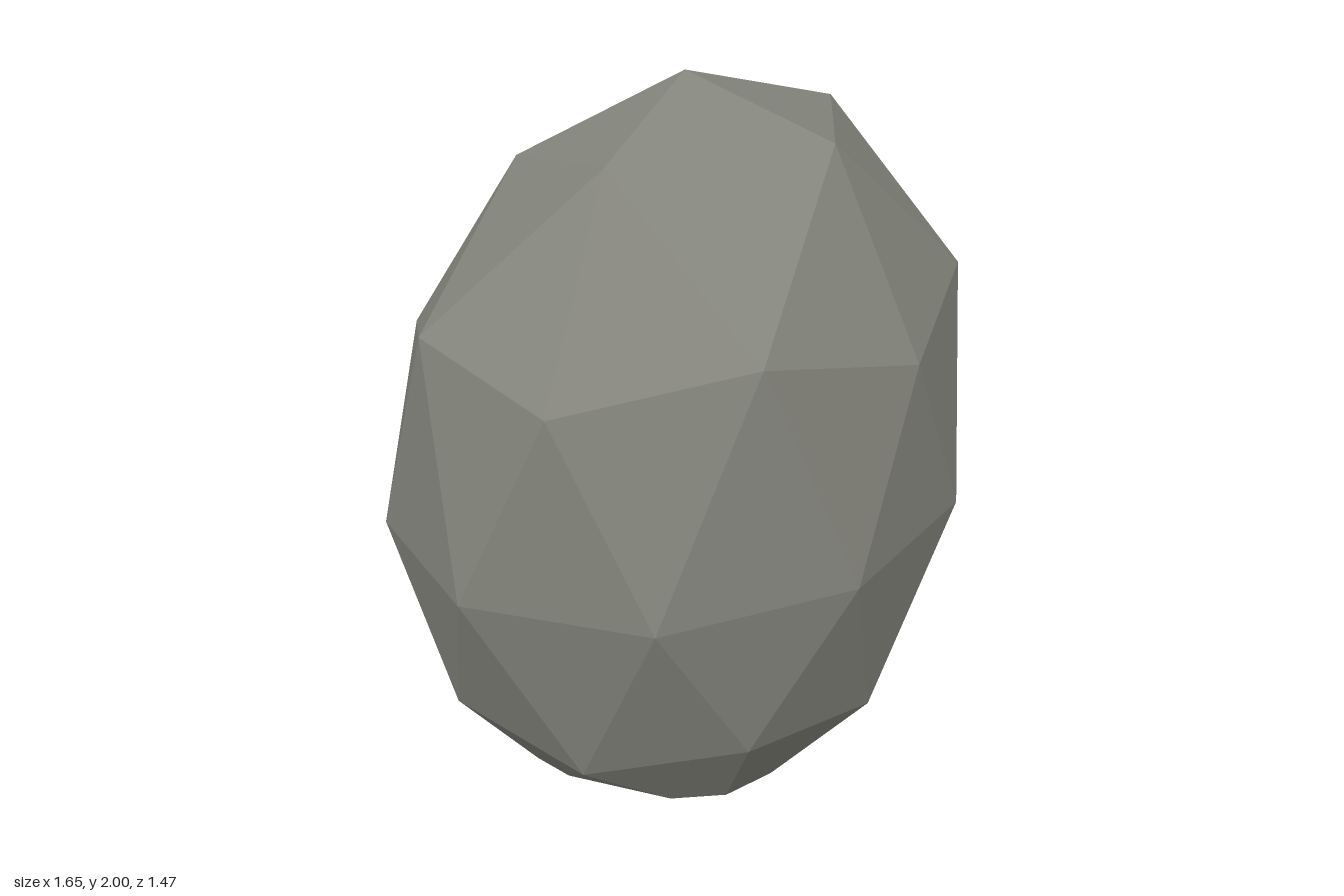
import * as THREE from 'three';

// Faceted boulder: a once-subdivided icosahedron, stretched, dented and cut flat at the ground.
const CENTRE = new THREE.Vector3(0.05, 0.82, -0.04);
const STRETCH = new THREE.Vector3(1, 1.275, 0.852);

// One ring of points: unit height, start angle in degrees, radial scale of each point
function ring(height, start, scales) {
  const r = Math.sqrt(1 - height * height);
  return scales.map((s, i) => {
    const a = THREE.MathUtils.degToRad(start + (360 / scales.length) * i);
    return new THREE.Vector3(r * Math.cos(a), height, r * Math.sin(a))
      .multiplyScalar(s).multiply(STRETCH).add(CENTRE);
  });
}

function boulderFaces() {
  const [top] = ring(1, 0, [0.925]);
  const crown = ring(0.8507, 0, [0.948, 0.98, 0.99, 0.885, 0.83]);
  const upperMid = ring(0.5257, 36, [0.935, 0.985, 0.953, 0.81, 0.813]);
  const upper = ring(0.4472, 0, [0.865, 0.925, 1.0, 0.865, 0.77]);
  const belt = ring(0, 18, [0.81, 0.87, 0.908, 0.94, 0.925, 0.885, 0.845, 0.822, 0.775, 0.752]);
  const lower = ring(-0.4472, 36, [0.83, 0.885, 0.87, 0.84, 0.775]);
  const lowerMid = ring(-0.5257, 0, [0.776, 0.865, 0.88, 0.83, 0.8]);
  const foot = ring(-0.8507, 36, [0.85, 0.88, 0.855, 0.86, 0.8]);
  const [bottom] = ring(-1, 0, [0.85]);

  const faces = [];
  for (let k = 0; k < 5; k++) {
    const n = (k + 1) % 5;
    const b0 = belt[2 * k], b1 = belt[2 * k + 1], b2 = belt[(2 * k + 2) % 10];
    faces.push(
      // crown
      [top, crown[k], crown[n]],
      [crown[k], upper[k], upperMid[k]],
      [crown[k], upperMid[k], crown[n]],
      [crown[n], upperMid[k], upper[n]],
      // sides
      [upper[k], b0, upperMid[k]],
      [upperMid[k], b0, b1],
      [upperMid[k], b1, upper[n]],
      [b0, lower[k], b1],
      [upper[n], b1, b2],
      [b1, lower[k], lowerMid[n]],
      [b1, lowerMid[n], b2],
      [b2, lowerMid[n], lower[n]],
      // foot
      [lower[k], foot[k], lowerMid[n]],
      [lowerMid[n], foot[k], foot[n]],
      [lowerMid[n], foot[n], lower[n]],
      [foot[k], bottom, foot[n]],
    );
  }
  return faces;
}

export function createModel() {
  const positions = [];
  const ab = new THREE.Vector3(), ac = new THREE.Vector3(), out = new THREE.Vector3();

  // Adds a triangle wound so that it faces away from the given inner point
  const addTriangle = (a, b, c, inside) => {
    ab.subVectors(b, a).cross(ac.subVectors(c, a));
    const order = ab.dot(out.subVectors(a, inside)) < 0 ? [a, c, b] : [a, b, c];
    order.forEach((p) => positions.push(p.x, p.y, p.z));
  };

  const groundCentre = new THREE.Vector3(0, 0, 0);
  for (const face of boulderFaces()) {
    // Keep the part of each face above the ground
    const kept = [], cut = [];
    face.forEach((p, i) => {
      const q = face[(i + 1) % 3];
      if (p.y >= 0) kept.push(p);
      if ((p.y >= 0) !== (q.y >= 0)) {
        const hit = p.clone().lerp(q, p.y / (p.y - q.y));
        hit.y = 0;
        kept.push(hit);
        cut.push(hit);
      }
    });
    for (let i = 1; i + 1 < kept.length; i++) addTriangle(kept[0], kept[i], kept[i + 1], CENTRE);
    // Flat underside
    if (cut.length === 2) addTriangle(groundCentre, cut[0], cut[1], CENTRE);
  }

  const geometry = new THREE.BufferGeometry();
  geometry.setAttribute('position', new THREE.Float32BufferAttribute(positions, 3));
  geometry.computeVertexNormals();

  const stone = new THREE.MeshStandardMaterial({ color: 0x85867d });
  stone.name = 'greyStone';
  const boulder = new THREE.Mesh(geometry, stone);
  boulder.name = 'boulder';

  const model = new THREE.Group();
  model.name = 'rock';
  model.add(boulder);
  return model;
}
